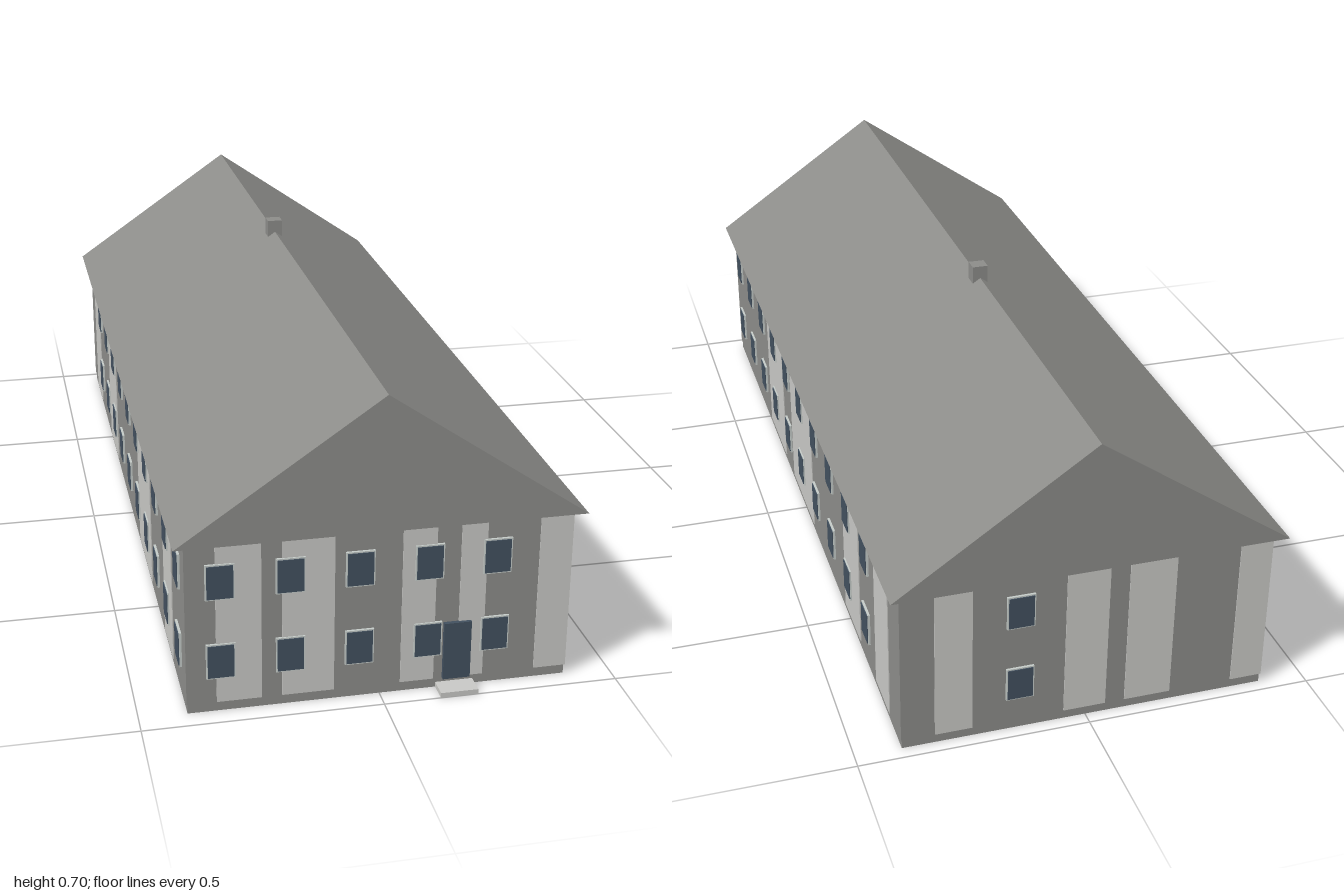
import * as THREE from 'three';

const mat = (name, color) => {
  const m = new THREE.MeshStandardMaterial({ color });
  m.name = name;
  return m;
};

export function createModel() {
  const gray = mat('weathered gray', 0x8c8c89);
  const light = mat('pale plaster', 0xc8c8c5);
  const trim = mat('window trim', 0xc4cbc8);
  const glass = mat('dark blue glass', 0x42505f);

  const model = new THREE.Group();
  model.name = 'longHouse';

  // Box given by its limits on each axis
  const box = (parent, name, material, [x0, x1], [y0, y1], [z0, z1]) => {
    const mesh = new THREE.Mesh(new THREE.BoxGeometry(x1 - x0, y1 - y0, z1 - z0), material);
    mesh.position.set((x0 + x1) / 2, (y0 + y1) / 2, (z0 + z1) / 2);
    mesh.name = name;
    parent.add(mesh);
  };

  const halfW = 0.402, front = 0.957, back = -0.973;
  const base = 0.022, eaves = 0.381;

  // Main volumes
  box(model, 'plinth', gray, [-0.4, 0.4], [0, base], [back + 0.002, front - 0.002]);
  box(model, 'walls', gray, [-halfW, halfW], [base, eaves], [back, front]);
  box(model, 'chimney', gray, [-0.018, 0.018], [0.64, 0.702], [-0.192, -0.158]);
  box(model, 'doorStep', light, [0.12, 0.2], [0, 0.011], [front - 0.01, 1]);

  // Gable roof, extruded along the ridge
  const gable = new THREE.Shape([
    new THREE.Vector2(-0.425, eaves),
    new THREE.Vector2(0.425, eaves),
    new THREE.Vector2(0, 0.673),
  ]);
  const roof = new THREE.Mesh(
    new THREE.ExtrudeGeometry(gable, { depth: 1.979, bevelEnabled: false }), gray);
  roof.position.z = -1;
  roof.name = 'roof';
  model.add(roof);

  // A facade lies in its own xy plane and faces its own +z
  const facade = (name, angle, x, z, stripes, windows) => {
    const g = new THREE.Group();
    g.name = name;
    g.position.set(x, 0, z);
    g.rotation.y = angle;
    for (const [a, b] of stripes)
      box(g, 'plasterStripe', light, [Math.min(a, b), Math.max(a, b)], [base, eaves], [-0.001, 0.002]);
    for (const c of windows) {
      for (const y of [0.117, 0.295]) {
        box(g, 'windowFrame', trim, [c - 0.03, c + 0.03], [y - 0.039, y + 0.039], [0, 0.005]);
        box(g, 'windowPane', glass, [c - 0.027, c + 0.027], [y - 0.036, y + 0.036], [0.001, 0.007]);
      }
    }
    model.add(g);
    return g;
  };

  // Window columns of the long sides, as z positions
  const sideZ = Array.from({ length: 10 }, (_, i) => 0.873 - i * 0.173);

  const frontFacade = facade('frontFacade', 0, 0, front,
    [[-0.34, -0.247], [-0.205, -0.097], [0.043, 0.114], [0.165, 0.22], [0.332, halfW]],
    [-0.331, -0.188, -0.045, 0.099, 0.242]);
  box(frontFacade, 'door', glass, [0.133, 0.191], [base, 0.152], [0, 0.009]);

  facade('backFacade', Math.PI, 0, back,
    [[-0.33, -0.25], [-0.05, 0.043], [0.086, 0.189], [0.33, halfW]],
    [-0.148]);

  facade('leftFacade', Math.PI / 2, halfW, 0,
    [[-0.449, -0.241], [-0.134, 0.118], [0.47, 0.62], [0.765, 0.882]],
    sideZ.map((z) => -z));

  facade('rightFacade', -Math.PI / 2, -halfW, 0,
    [[-0.87, -0.73], [-0.48, -0.3], [0.19, 0.42], [0.645, 0.774]],
    sideZ);

  return model;
}
